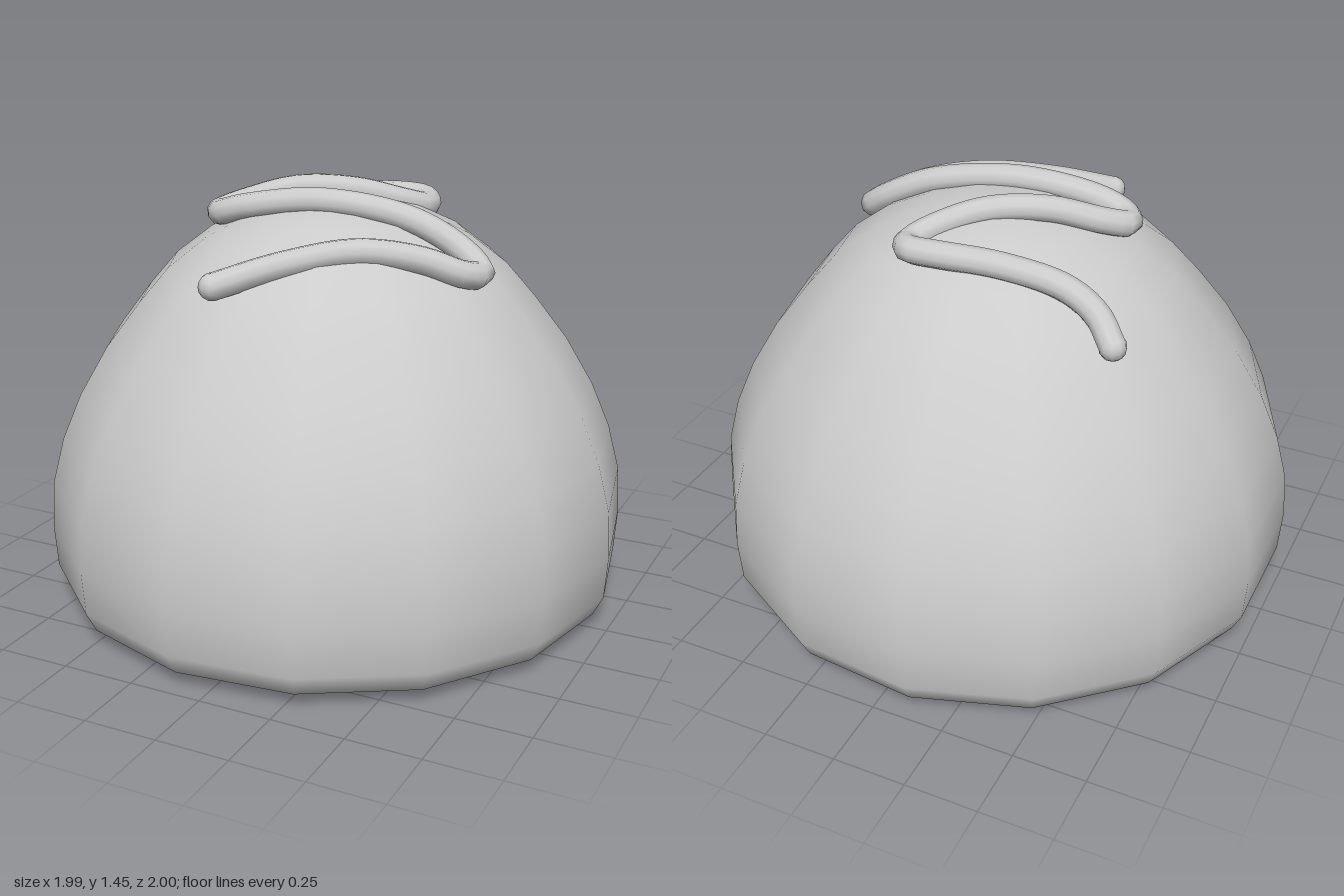
import * as THREE from 'three';

const grey = new THREE.MeshStandardMaterial({ color: 0xcccccc });
const shellGrey = new THREE.MeshStandardMaterial({ color: 0xcccccc, side: THREE.DoubleSide });

// Half profile of the bun, from the open bottom rim to the crown: radius, height
const PROFILE = [
  [0.82, 0], [0.96, 0.05], [0.995, 0.12], [1.005, 0.27], [0.995, 0.43], [0.953, 0.59],
  [0.887, 0.745], [0.79, 0.91], [0.675, 1.06], [0.575, 1.175], [0.445, 1.275],
  [0.3, 1.345], [0.15, 1.385], [0, 1.4],
];

// Zigzag centre line of the icing, from back to front
const ICING = [
  [-0.54, 1.16, -0.37], [-0.47, 1.23, -0.325], [-0.36, 1.29, -0.31], [-0.15, 1.33, -0.33],
  [0.05, 1.345, -0.37], [0.16, 1.34, -0.365], [0.19, 1.33, -0.3], [0.14, 1.355, -0.22],
  [0, 1.4, -0.12], [-0.18, 1.405, -0.04], [-0.34, 1.36, 0.04], [-0.4, 1.335, 0.105],
  [-0.37, 1.34, 0.155], [-0.27, 1.37, 0.17], [0, 1.405, 0.13], [0.3, 1.36, 0.08],
  [0.48, 1.27, 0.07], [0.55, 1.215, 0.1], [0.52, 1.225, 0.17], [0.4, 1.275, 0.24],
  [0.22, 1.3, 0.33], [0.02, 1.265, 0.46], [-0.16, 1.205, 0.585],
];
const ICING_RADIUS = 0.045;

function addMesh(parent, name, geometry, material) {
  const mesh = new THREE.Mesh(geometry, material);
  mesh.name = name;
  parent.add(mesh);
  return mesh;
}

export function createModel() {
  const model = new THREE.Group();
  model.name = 'icedBun';

  // Hollow fifteen-sided dome, one corner pointing along +x
  const points = PROFILE.map(([r, y]) => new THREE.Vector2(r, y));
  const dome = addMesh(model, 'domeShell', new THREE.LatheGeometry(points, 15, Math.PI / 2), shellGrey);
  dome.position.x = -0.011;

  // Icing drizzle with rounded ends
  const icing = new THREE.Group();
  icing.name = 'icingDrizzle';
  model.add(icing);
  const path = new THREE.CatmullRomCurve3(ICING.map((p) => new THREE.Vector3(...p)));
  addMesh(icing, 'icingStrand', new THREE.TubeGeometry(path, 110, ICING_RADIUS, 10), grey);
  for (const t of [0, 1]) {
    const tip = addMesh(icing, 'icingTip', new THREE.SphereGeometry(ICING_RADIUS, 10, 8), grey);
    tip.position.copy(path.getPoint(t));
  }

  return model;
}
